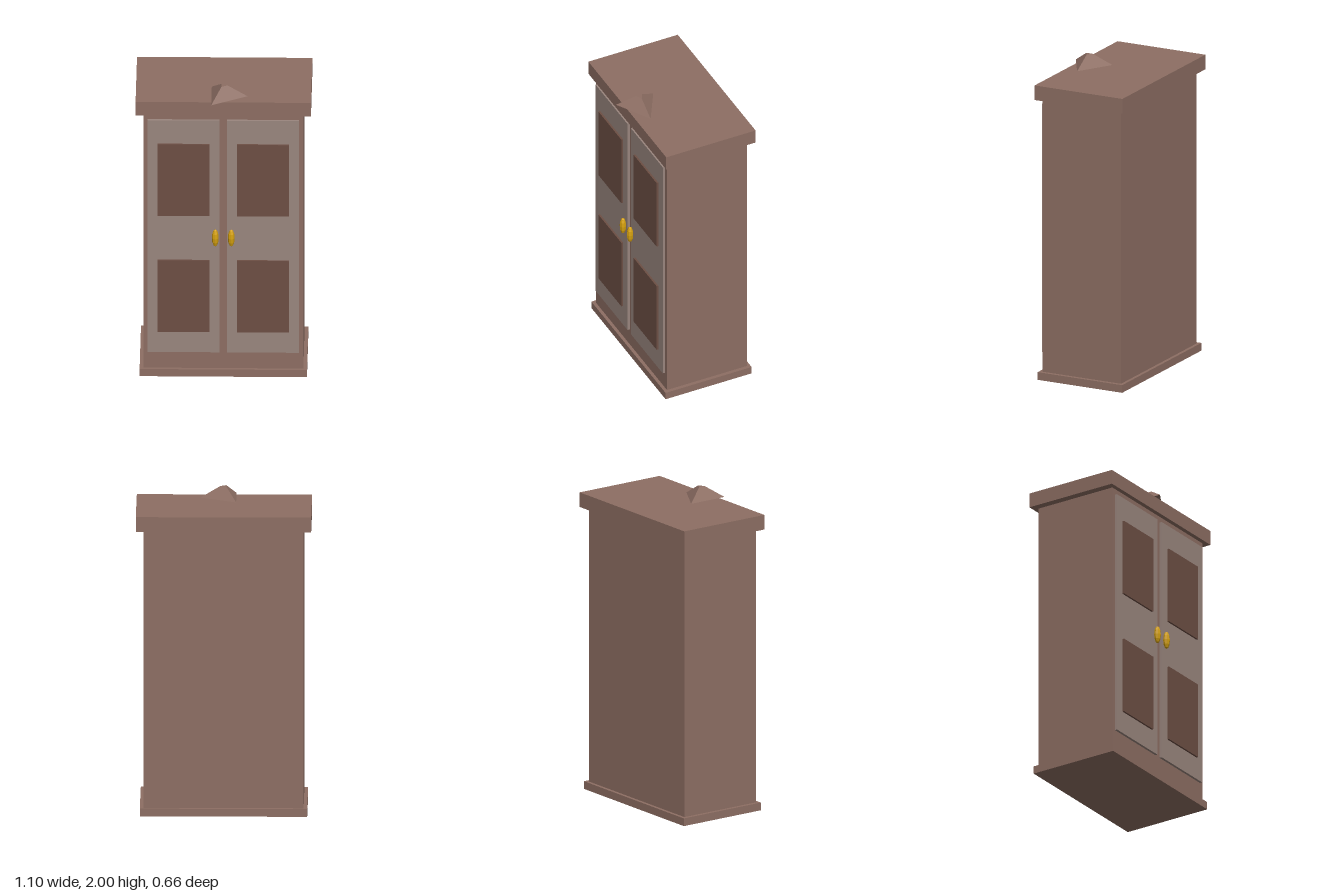
import * as THREE from 'three';

const paint = (color) => new THREE.MeshStandardMaterial({ color, flatShading: true });

export function createModel() {
  const wardrobe = new THREE.Group();
  wardrobe.name = 'wardrobe';

  const wood = paint(0x8d6e63);
  const doorWood = paint(0x9a867e);
  const panelWood = paint(0x6d4f44);
  const brass = paint(0xd4a010);

  const add = (name, geometry, material, x, y, z) => {
    const mesh = new THREE.Mesh(geometry, material);
    mesh.name = name;
    mesh.position.set(x, y, z);
    wardrobe.add(mesh);
    return mesh;
  };

  // Box given by its limits on each axis
  const box = (name, material, [x0, x1], [y0, y1], [z0, z1]) =>
    add(name, new THREE.BoxGeometry(x1 - x0, y1 - y0, z1 - z0), material,
      (x0 + x1) / 2, (y0 + y1) / 2, (z0 + z1) / 2);

  // Carcass with plinth and cornice
  box('plinth', wood, [-0.523, 0.523], [0, 0.05], [-0.32, 0.28]);
  box('body', wood, [-0.5, 0.5], [0.05, 1.83], [-0.299, 0.259]);
  box('cornice', wood, [-0.548, 0.548], [1.83, 1.925], [-0.335, 0.288]);

  // Three-sided crown ornament, one corner pointing to +x
  const crown = new THREE.CylinderGeometry(0.025, 0.15, 0.075, 3);
  crown.rotateY(Math.PI / 2);
  add('crownOrnament', crown, wood, 0, 1.9625, 0.2);

  // Mirrored doors, each with two panels and a handle
  for (const [side, s] of [['left', 1], ['right', -1]]) {
    const span = (a, b) => (s > 0 ? [a, b] : [-b, -a]);
    box(`${side}Door`, doorWood, span(0.023, 0.473), [0.168, 1.79], [0.25, 0.275]);
    box(`${side}UpperPanel`, panelWood, span(0.087, 0.411), [1.127, 1.627], [0.27, 0.287]);
    box(`${side}LowerPanel`, panelWood, span(0.087, 0.411), [0.315, 0.815], [0.27, 0.287]);
    const handle = add(`${side}Handle`, new THREE.SphereGeometry(0.0215, 8, 6), brass, s * 0.05, 0.979, 0.294);
    handle.scale.y = 2.75;
  }

  return wardrobe;
}
